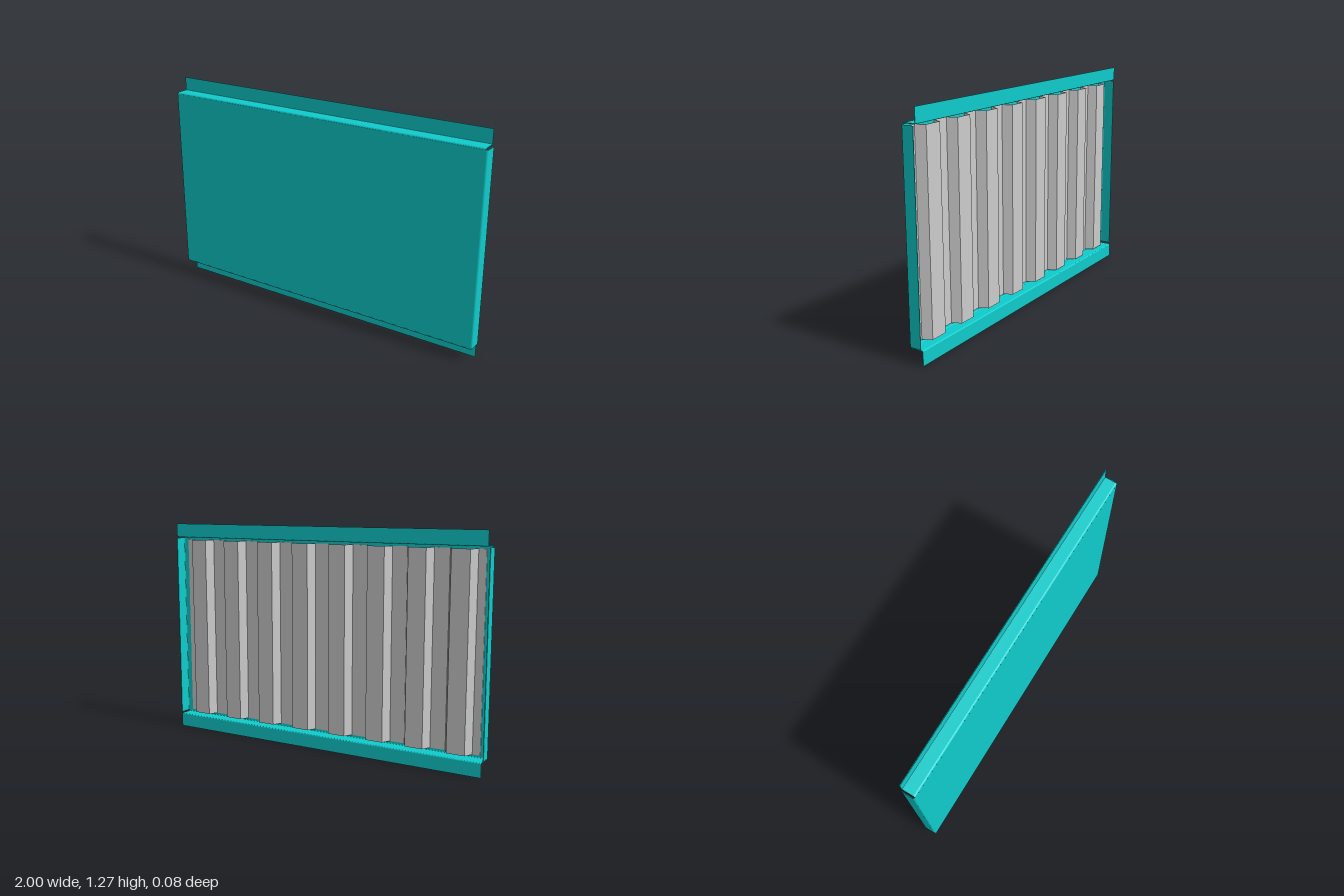
import * as THREE from 'three';

const THICK = 0.004;

// Points of a quarter bend around (cx, cy) between two angles in degrees
function bend(cx, cy, r, from, to, steps = 4) {
  return Array.from({ length: steps + 1 }, (_, i) => {
    const a = THREE.MathUtils.degToRad(from + (to - from) * i / steps);
    return new THREE.Vector2(cx + r * Math.cos(a), cy + r * Math.sin(a));
  });
}

// Folded sheet metal: thickens an open centre line (mitred) and extrudes it about z = 0
function foldedSheet(line, length) {
  const normal = (a, b) => {
    const d = b.clone().sub(a).normalize();
    return new THREE.Vector2(-d.y, d.x);
  };
  const offsets = line.map((p, i) => {
    const n1 = normal(line[Math.max(i - 1, 0)], line[Math.max(i, 1)]);
    const last = line.length - 1;
    const n2 = normal(line[Math.min(i, last - 1)], line[Math.min(i + 1, last)]);
    const m = n1.clone().add(n2).normalize();
    return m.multiplyScalar(THICK / 2 / m.dot(n1));
  });
  const sideA = line.map((p, i) => p.clone().add(offsets[i]));
  const sideB = line.map((p, i) => p.clone().sub(offsets[i])).reverse();
  const geo = new THREE.ExtrudeGeometry(new THREE.Shape([...sideA, ...sideB]), {
    depth: length, bevelEnabled: false,
  });
  return geo.translate(0, 0, -length / 2);
}

export function createModel() {
  const group = new THREE.Group();
  const cyan = new THREE.MeshStandardMaterial({ name: 'cyanPaint', color: 0x0fcccc });
  const grey = new THREE.MeshStandardMaterial({ name: 'greyMetal', color: 0xcccccc });
  const add = (name, geo, material, y) => {
    const mesh = new THREE.Mesh(geo, material);
    mesh.name = name;
    mesh.position.y = y;
    group.add(mesh);
  };
  const v = (x, y) => new THREE.Vector2(x, y);
  const midY = 0.6375, front = 0.0365, back = -0.0365, r = 0.008;

  // Front panel with both side flanges folded backwards, profile in (x, z)
  const sx = 0.998;
  const tray = [
    v(-sx, -0.032),
    ...bend(-sx + r, front - r, r, 180, 90),
    ...bend(sx - r, front - r, r, 90, 0),
    v(sx, -0.032),
  ];
  add('frontPanel', foldedSheet(tray, 1.099).rotateX(Math.PI / 2), cyan, midY);

  // Top and bottom flanges folded back, then outward, profile in (z, y) from mid height
  for (const s of [1, -1]) {
    const flangeY = 0.5575;
    const profile = [
      ...bend(front - r, flangeY - r, r, 0, 90),
      ...bend(back + 0.005, flangeY + 0.005, 0.005, 270, 180),
      v(back, 0.6375),
    ].map((p) => v(p.x, p.y * s));
    const geo = foldedSheet(profile, 1.982).rotateY(-Math.PI / 2);
    add(s > 0 ? 'topFlange' : 'bottomFlange', geo, cyan, midY);
  }

  // Corrugated backing sheet with eight ridges, profile in (x, z)
  const pitch = 0.24, valleyZ = 0.0315, ridgeZ = -0.018;
  const wave = [v(-0.96, valleyZ)];
  for (let i = 0; i < 8; i++) {
    const c = (i - 3.5) * pitch;
    wave.push(v(c - 0.075, valleyZ), v(c - 0.05, ridgeZ), v(c + 0.05, ridgeZ), v(c + 0.075, valleyZ));
  }
  wave.push(v(0.96, valleyZ));
  add('corrugatedSheet', foldedSheet(wave, 1.08).rotateX(Math.PI / 2), grey, midY);

  return group;
}
